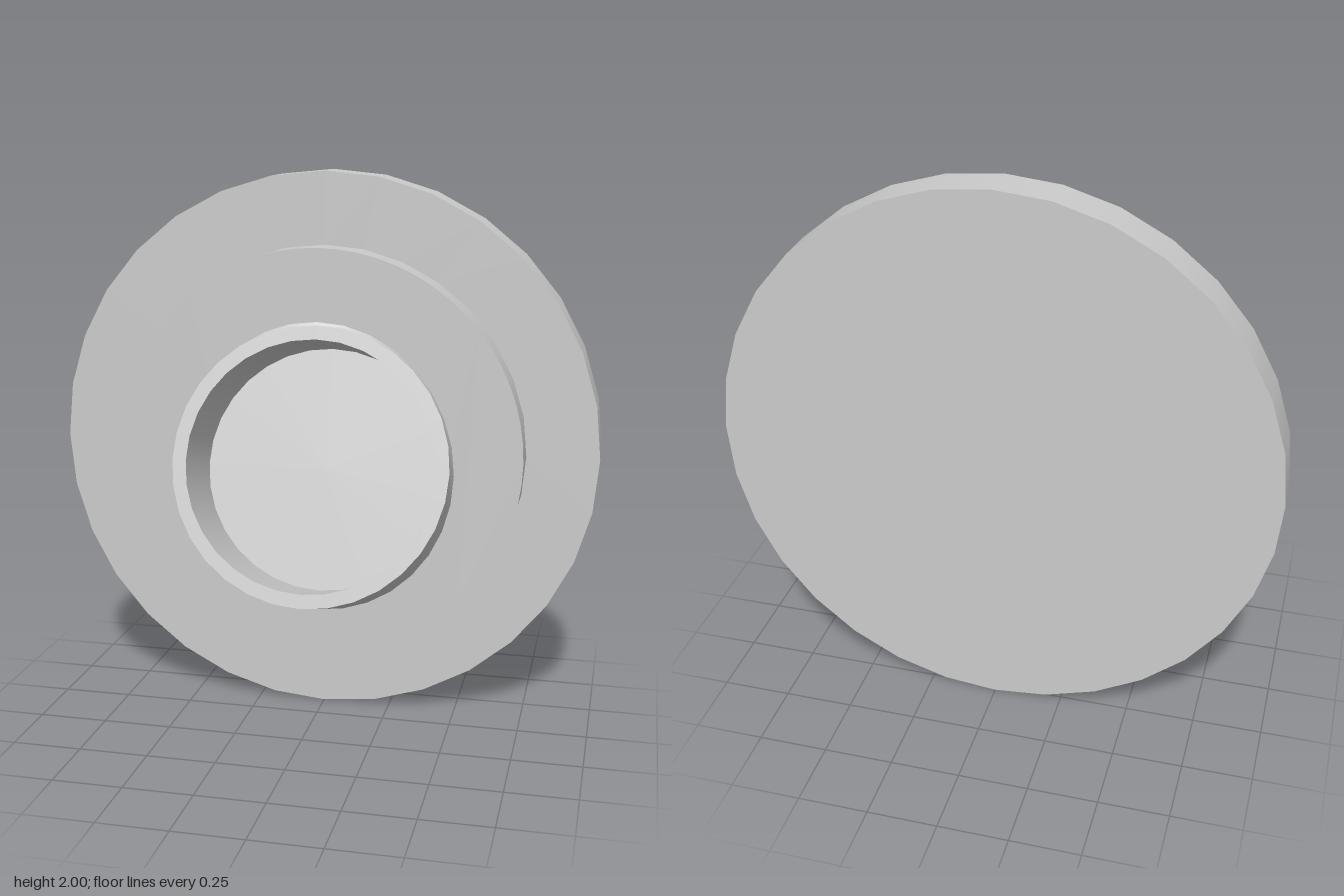
import * as THREE from 'three';
import { mergeVertices } from 'three/addons/utils/BufferGeometryUtils.js';

const SIDES = 32;
const TILT = THREE.MathUtils.degToRad(15.5);
const RIM = { y: 0.9875, z: 0.142, outer: 0.5, inner: 0.45 };
const BASE = { y: 0.945, rx: 0.497, ry: 0.535 }; // foot of the collar on the step plate
const BORE_DEPTH = 0.3;

export function createModel() {
  const model = new THREE.Group();
  const material = new THREE.MeshStandardMaterial({ color: 0xcccccc, side: THREE.DoubleSide });

  const add = (parent, name, geometry, x = 0, y = 0, z = 0) => {
    const mesh = new THREE.Mesh(geometry, material);
    mesh.name = name;
    mesh.position.set(x, y, z);
    parent.add(mesh);
    return mesh;
  };
  // Open round wall whose axis runs along z
  const wall = (radius, depth) =>
    new THREE.CylinderGeometry(radius, radius, depth, SIDES, 1, true).rotateX(Math.PI / 2);

  // Large back plate
  const backPlate = new THREE.Group();
  backPlate.name = 'backPlate';
  add(backPlate, 'backPlateEdge', wall(1, 0.15), 0, 1, -0.2);
  add(backPlate, 'backPlateFront', new THREE.RingGeometry(0.74, 1, SIDES), 0, 1, -0.125);
  add(backPlate, 'backPlateBack', new THREE.CircleGeometry(1, SIDES).rotateY(Math.PI), 0, 1, -0.275);
  model.add(backPlate);

  // Smaller step plate, open where the tilted bore passes through
  const stepPlate = new THREE.Group();
  stepPlate.name = 'stepPlate';
  add(stepPlate, 'stepPlateEdge', wall(0.74, 0.125), 0, 1, -0.0625);
  const face = new THREE.Shape();
  face.absarc(0, 1, 0.74, 0, Math.PI * 2);
  const opening = new THREE.Path();
  opening.absellipse(0, 0.947, 0.475, 0.5, 0, Math.PI * 2, true);
  face.holes.push(opening);
  add(stepPlate, 'stepPlateFront', new THREE.ShapeGeometry(face, SIDES));
  model.add(stepPlate);

  // Collar wall: joins the upright oval foot to the tilted round rim
  let collar = wall(1, 1);
  collar.deleteAttribute('uv');
  collar.deleteAttribute('normal');
  collar = mergeVertices(collar);
  const p = collar.attributes.position;
  for (let i = 0; i < p.count; i++) {
    const c = p.getX(i), s = p.getY(i);
    if (p.getZ(i) > 0) {
      p.setXYZ(i, RIM.outer * c, RIM.y + RIM.outer * s * Math.cos(TILT),
        RIM.z - RIM.outer * s * Math.sin(TILT));
    } else {
      p.setXYZ(i, BASE.rx * c, BASE.y + BASE.ry * s, 0);
    }
  }
  collar.computeVertexNormals();
  add(model, 'collarWall', collar);

  // Tilted rim and blind bore
  const socket = new THREE.Group();
  socket.name = 'tiltedSocket';
  socket.position.set(0, RIM.y, RIM.z);
  socket.rotation.x = -TILT;
  add(socket, 'rim', new THREE.RingGeometry(RIM.inner, RIM.outer, SIDES));
  add(socket, 'boreWall', wall(RIM.inner, BORE_DEPTH), 0, 0, -BORE_DEPTH / 2);
  add(socket, 'boreFloor', new THREE.CircleGeometry(RIM.inner, SIDES), 0, 0, -BORE_DEPTH);
  model.add(socket);

  return model;
}
